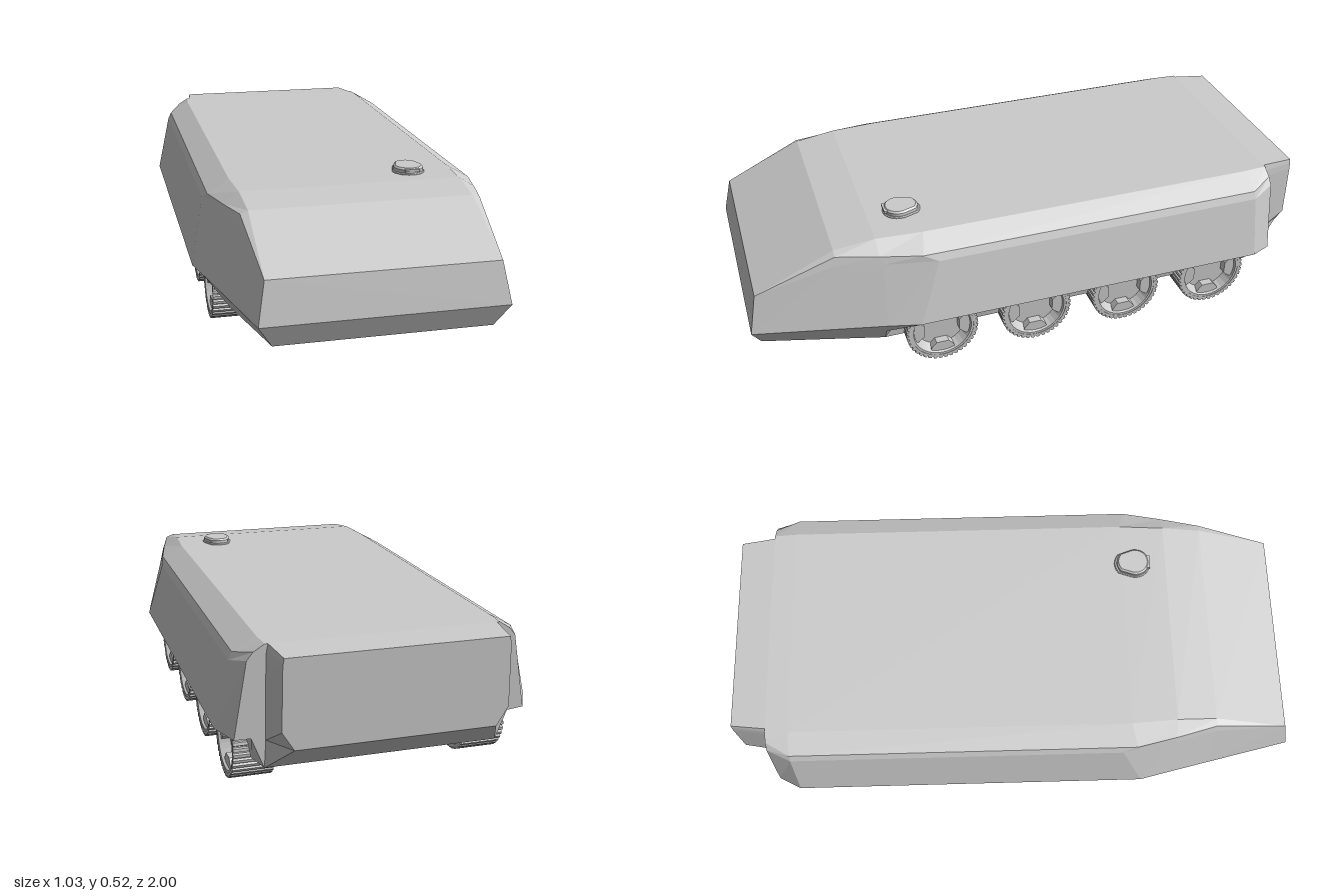
import * as THREE from 'three';

const flat = new THREE.MeshStandardMaterial({ color: 0xcccccc, flatShading: true });
const smooth = new THREE.MeshStandardMaterial({ color: 0xcccccc, side: THREE.DoubleSide });

function addMesh(parent, name, geometry, material = flat) {
  const mesh = new THREE.Mesh(geometry, material);
  mesh.name = name;
  parent.add(mesh);
  return mesh;
}

// Each half section runs: roof edge, shoulder, side top, widest, sponson inner, belly edge
const sections = [
  [[0.365, 0.36, 0.97], [0.365, 0.36, 0.97], [0.365, 0.36, 0.97], [0.39, 0.225, 1], [0.345, 0.15, 0.97], [0.345, 0.15, 0.97]],
  [[0.365, 0.484, 0.7], [0.39, 0.474, 0.7], [0.4, 0.445, 0.7], [0.458, 0.225, 0.7], [0.41, 0.155, 0.7], [0.388, 0.124, 0.7]],
  [[0.37, 0.502, 0.56], [0.425, 0.467, 0.56], [0.435, 0.44, 0.55], [0.49, 0.225, 0.56], [0.455, 0.175, 0.56], [0.41, 0.11, 0.56]],
  [[0.38, 0.502, 0.4], [0.455, 0.46, 0.42], [0.467, 0.435, 0.37], [0.515, 0.222, 0.45], [0.42, 0.222, 0.48], [0.41, 0.11, 0.55]],
  [[0.38, 0.502, -0.8], [0.455, 0.46, -0.8], [0.467, 0.435, -0.8], [0.515, 0.222, -0.8], [0.42, 0.222, -0.8], [0.4, 0.11, -0.8]],
  [[0.375, 0.502, -0.88], [0.41, 0.48, -0.88], [0.43, 0.455, -0.88], [0.472, 0.21, -0.88], [0.42, 0.21, -0.88], [0.38, 0.11, -0.88]],
  [[0.365, 0.502, -0.88], [0.37, 0.48, -0.88], [0.372, 0.455, -0.88], [0.375, 0.25, -0.88], [0.375, 0.2, -0.88], [0.38, 0.11, -0.88]],
  [[0.35, 0.495, -1], [0.353, 0.48, -1], [0.355, 0.455, -1], [0.358, 0.27, -1], [0.32, 0.21, -1], [0.32, 0.21, -1]],
];

function loftHull() {
  const positions = [];
  const tri = (a, b, c) => {
    const [p, q, r] = [a, b, c].map((v) => new THREE.Vector3(...v));
    const area = q.clone().sub(p).cross(r.clone().sub(p)).length();
    if (area > 1e-7) positions.push(...a, ...b, ...c);
  };
  const mirror = ([x, y, z]) => [-x, y, z];
  const rings = sections.map((s) => [...s, ...s.map(mirror).reverse()]);
  const n = rings[0].length;
  for (let i = 0; i < rings.length - 1; i++) {
    for (let j = 0; j < n; j++) {
      const k = (j + 1) % n;
      tri(rings[i][j], rings[i][k], rings[i + 1][j]);
      tri(rings[i + 1][j], rings[i][k], rings[i + 1][k]);
    }
  }
  // Nose plates and rear plate
  const nose = sections[0];
  const tail = sections[sections.length - 1];
  for (let j = 0; j < nose.length - 1; j++) {
    tri(nose[j], mirror(nose[j]), nose[j + 1]);
    tri(nose[j + 1], mirror(nose[j]), mirror(nose[j + 1]));
    tri(tail[j], tail[j + 1], mirror(tail[j]));
    tri(tail[j + 1], mirror(tail[j + 1]), mirror(tail[j]));
  }
  const geometry = new THREE.BufferGeometry();
  geometry.setAttribute('position', new THREE.Float32BufferAttribute(positions, 3));
  geometry.computeVertexNormals();
  return geometry;
}

// Ribbed tyre outline with an open centre
function tyreGeometry(width) {
  const shape = new THREE.Shape();
  const ribs = 40;
  for (let i = 0; i < ribs; i++) {
    [[0, 0.121], [0.15, 0.128], [0.65, 0.128], [0.8, 0.121]].forEach(([t, r], k) => {
      const a = ((i + t) / ribs) * Math.PI * 2;
      if (i + k === 0) shape.moveTo(r, 0);
      else shape.lineTo(r * Math.cos(a), r * Math.sin(a));
    });
  }
  shape.closePath();
  shape.holes.push(new THREE.Path().absarc(0, 0, 0.112, 0, Math.PI * 2, true));
  return new THREE.ExtrudeGeometry(shape, { depth: width, bevelEnabled: false, curveSegments: 20 })
    .translate(0, 0, -width / 2);
}

// Wheel built facing +z
function createWheel() {
  const wheel = new THREE.Group();
  wheel.name = 'wheel';
  addMesh(wheel, 'tyre', tyreGeometry(0.135));

  const dish = [[0, -0.05], [0.09, -0.05], [0.113, -0.066], [0.113, 0.066], [0.104, 0.066], [0.088, 0.03], [0, 0.03]];
  const rim = new THREE.LatheGeometry(dish.map(([r, y]) => new THREE.Vector2(r, y)), 32).rotateX(Math.PI / 2);
  addMesh(wheel, 'rim', rim, new THREE.MeshStandardMaterial({ color: 0xcccccc, flatShading: true, side: THREE.DoubleSide }));

  const lug = new THREE.Shape([[-0.045, 0.1], [-0.04, 0.082], [-0.022, 0.062], [0.022, 0.062], [0.04, 0.082], [0.045, 0.1]]
    .map(([x, y]) => new THREE.Vector2(x, y)).reverse());
  const lugGeometry = new THREE.ExtrudeGeometry(lug, { depth: 0.03, bevelEnabled: false }).translate(0, 0, 0.028);
  for (let i = 0; i < 4; i++) {
    addMesh(wheel, 'rimLug', lugGeometry).rotation.z = (i * Math.PI) / 2;
  }
  return wheel;
}

// Teardrop cap, rounded at the front and narrowing to the rear
function teardrop(scale, height, bevel) {
  const shape = new THREE.Shape();
  shape.absarc(0, 0, 0.052 * scale, Math.PI - 0.35, Math.PI * 2 + 0.35, false);
  shape.lineTo(0.034 * scale, 0.06 * scale);
  shape.quadraticCurveTo(0, 0.085 * scale, -0.034 * scale, 0.06 * scale);
  shape.closePath();
  return new THREE.ExtrudeGeometry(shape, {
    depth: height, bevelThickness: bevel, bevelSize: bevel, bevelSegments: 1, curveSegments: 16,
  }).rotateX(-Math.PI / 2);
}

export function createModel() {
  const model = new THREE.Group();
  model.name = 'armouredCarrier';
  addMesh(model, 'hull', loftHull());

  // Four wheels a side, partly sunk into the lower hull
  for (const side of [1, -1]) {
    for (const z of [0.365, 0.02, -0.322, -0.665]) {
      const wheel = createWheel();
      wheel.position.set(side * 0.3875, 0.128, z);
      wheel.rotation.y = (side * Math.PI) / 2;
      model.add(wheel);
    }
  }

  // Low roof hatch with a periscope slot
  const hatch = new THREE.Group();
  hatch.name = 'roofHatch';
  hatch.position.set(0.228, 0.5, 0.448);
  addMesh(hatch, 'hatchBase', teardrop(1, 0.004, 0.003));
  addMesh(hatch, 'hatchLid', teardrop(0.84, 0.018, 0.006));
  addMesh(hatch, 'periscope', new THREE.BoxGeometry(0.05, 0.008, 0.014)).position.set(0, 0.017, 0.046);
  model.add(hatch);
  return model;
}
